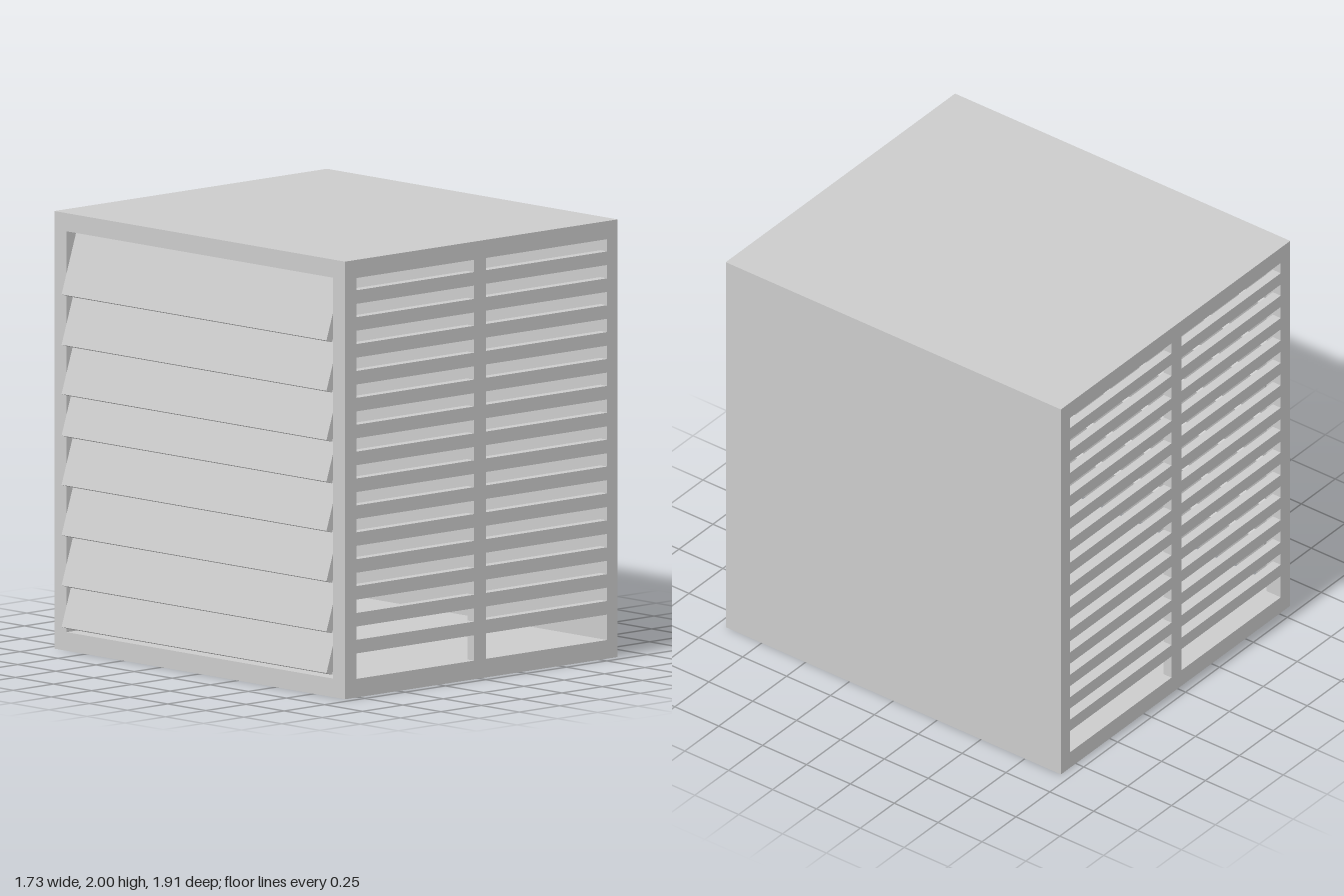
import * as THREE from 'three';

const material = new THREE.MeshStandardMaterial({ color: 0xcccccc, flatShading: true });

// Outer limits of the cabinet and of its inner opening
const X0 = -0.83, X1 = 0.86, DEPTH = 1.91, HEIGHT = 2;
const IN_X0 = -0.76, IN_X1 = 0.795, IN_Y0 = 0.085, IN_Y1 = 1.917;
const POST = 0.08, SLAT = 0.045;

// Box given by its limits on each axis
function box(name, x0, x1, y0, y1, z0, z1) {
  const geometry = new THREE.BoxGeometry(x1 - x0, y1 - y0, z1 - z0);
  const mesh = new THREE.Mesh(geometry, material);
  mesh.position.set((x0 + x1) / 2, (y0 + y1) / 2, (z0 + z1) / 2);
  mesh.name = name;
  return mesh;
}

// Roof, solid side wall and floor as one C-shaped section
function createShell() {
  const section = new THREE.Shape([
    [X0, 0], [X1, 0], [X1, HEIGHT], [X0, HEIGHT],
    [X0, IN_Y1], [IN_X1, IN_Y1], [IN_X1, IN_Y0], [X0, IN_Y0],
  ].map(([x, y]) => new THREE.Vector2(x, y)));
  const geometry = new THREE.ExtrudeGeometry(section, { depth: DEPTH, bevelEnabled: false });
  geometry.translate(0, 0, -DEPTH / 2);
  const shell = new THREE.Mesh(geometry, material);
  shell.name = 'shell';
  return shell;
}

// Corner post, centre bar and horizontal slats of one open face
function createGrille(name, side) {
  const grille = new THREE.Group();
  grille.name = name;
  const outer = side * DEPTH / 2;
  const span = (depth) => [outer, outer - side * depth].sort((a, b) => a - b);
  grille.add(box('cornerPost', X0, IN_X0, IN_Y0, IN_Y1, ...span(POST)));
  grille.add(box('centreBar', -0.03, 0.045, IN_Y0, IN_Y1, ...span(SLAT)));
  for (let i = 0; i < 14; i++) {
    const y = 1.83 - i * 0.1229;
    grille.add(box('slat', IN_X0, -0.03, y - 0.031, y + 0.031, ...span(SLAT)));
    grille.add(box('slat', 0.045, IN_X1, y - 0.031, y + 0.031, ...span(SLAT)));
  }
  return grille;
}

// Tilted overlapping boards filling the other side
function createLouvres() {
  const louvres = new THREE.Group();
  louvres.name = 'louvres';
  const geometry = new THREE.BoxGeometry(0.037, 0.286, 1.74);
  for (const bottom of [0.10, 0.29, 0.52, 0.75, 0.975, 1.165, 1.39, 1.62]) {
    const board = new THREE.Mesh(geometry, material);
    board.name = 'louvreBoard';
    board.position.set(-0.8025, bottom + 0.143, 0);
    board.rotation.z = -0.32;
    louvres.add(board);
  }
  return louvres;
}

export function createModel() {
  const model = new THREE.Group();
  model.name = 'louvredCabinet';
  model.add(
    createShell(),
    createGrille('frontGrille', 1),
    createGrille('backGrille', -1),
    createLouvres(),
  );
  return model;
}
